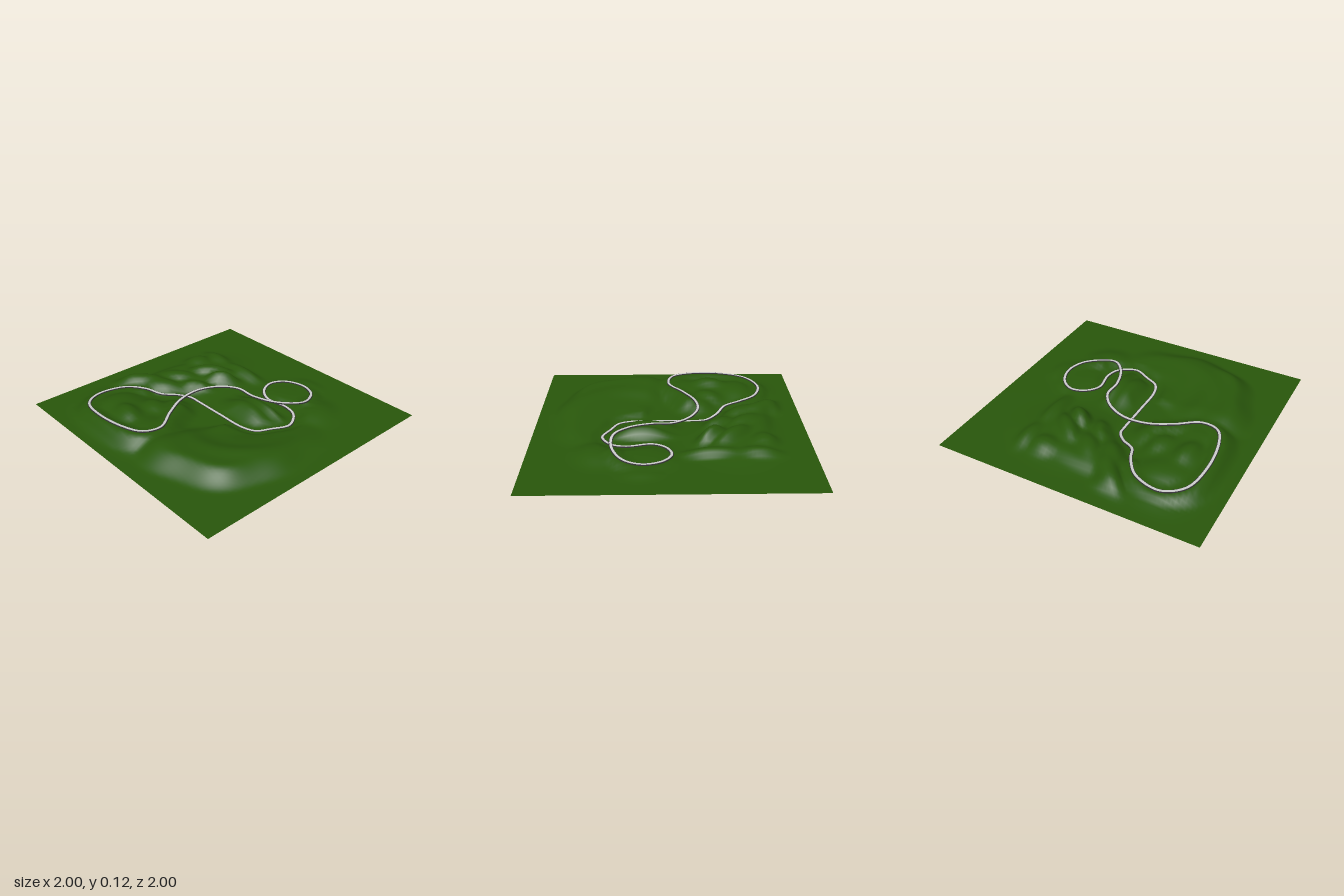
import * as THREE from 'three';

const GROUND = 0.005;

// Centre line of the road: x, y, z. It crosses over itself twice.
const ROAD = [
  [-0.21, 0.004, 0.055], [0.05, 0.004, 0.055], [0.28, 0.004, 0.05], [0.38, 0.004, 0.01],
  [0.435, 0.005, -0.09], [0.49, 0.007, -0.21], [0.46, 0.009, -0.29], [0.4, 0.012, -0.352],
  [0.3, 0.015, -0.375], [0.13, 0.02, -0.353], [0.03, 0.026, -0.42], [-0.005, 0.03, -0.53],
  [0.06, 0.034, -0.63], [0.2, 0.038, -0.675], [0.33, 0.048, -0.625], [0.41, 0.07, -0.48],
  [0.4, 0.098, -0.355], [0.3, 0.104, -0.255], [0.13, 0.104, -0.195], [-0.02, 0.106, -0.19],
  [-0.14, 0.106, -0.1], [-0.21, 0.104, 0.055], [-0.195, 0.1, 0.23], [-0.11, 0.097, 0.4],
  [0, 0.098, 0.57], [-0.03, 0.105, 0.7], [-0.16, 0.106, 0.767], [-0.43, 0.095, 0.795],
  [-0.64, 0.075, 0.745], [-0.73, 0.06, 0.6], [-0.68, 0.062, 0.4], [-0.55, 0.06, 0.29],
  [-0.43, 0.045, 0.235], [-0.36, 0.025, 0.13], [-0.28, 0.01, 0.063],
];

// Hills: x, z, radius along, radius across, turn, height
const HILLS = [
  [-0.6, -0.49, 0.15, 0.07, 0.05, 0.06], [-0.3, -0.49, 0.21, 0.06, 0, 0.06],
  [-0.45, -0.27, 0.2, 0.08, -0.8, 0.1], [-0.3, -0.26, 0.13, 0.07, -0.8, 0.11],
  [-0.55, -0.04, 0.17, 0.09, -0.7, 0.085], [-0.36, -0.05, 0.14, 0.07, -0.6, 0.075],
  [-0.7, 0.2, 0.2, 0.08, -0.8, 0.085], [-0.78, 0.25, 0.08, 0.1, 0, 0.06],
  [-0.55, 0.14, 0.18, 0.09, -0.6, 0.08], [-0.66, -0.33, 0.1, 0.12, 0.2, 0.07],
  [-0.47, -0.22, 0.27, 0.36, 0, 0.045], [-0.66, -0.05, 0.09, 0.3, 0.1, 0.055],
  [-0.35, 0.58, 0.4, 0.25, 0, 0.075], [-0.33, 0.61, 0.17, 0.1, 0.2, 0.115],
  [-0.3, 0.4, 0.14, 0.1, 0.3, 0.09], [-0.08, 0.62, 0.17, 0.22, 0, 0.085],
  [-0.55, 0.55, 0.14, 0.2, 0, 0.075], [-0.22, 0.28, 0.12, 0.12, 0, 0.07],
  [0.17, -0.11, 0.19, 0.1, 0, 0.08], [0.2, -0.21, 0.2, 0.05, 0, 0.08],
  [0.2, -0.52, 0.22, 0.2, 0, 0.03], [0.2, -0.74, 0.13, 0.08, 0, 0.022],
  [0.5, -0.48, 0.14, 0.17, -0.5, 0.045],
];

const curve = new THREE.CatmullRomCurve3(ROAD.map(p => new THREE.Vector3(...p)), true);
const samples = curve.getSpacedPoints(320);
const step = THREE.MathUtils.smoothstep;

// Broad curved ridge around the front left side
function ridge(x, z) {
  const dx = x - 0.2, dz = z - 0.1;
  const r = Math.hypot(dx, dz), a = Math.atan2(dz, dx);
  const outer = 0.73 + 0.06 * step(a, 0.2, 0.8) + 0.015 * Math.sin(a * 9);
  const slope = 1 - step(r, outer - 0.2, outer);
  const inner = 0.35 + 0.65 * step(r, 0.15, 0.5);
  const arc = step(a, -1.3, 0.7) * (1 - step(a, 1.6, 2.3));
  const ripple = 1 + 0.05 * Math.sin(r * 28 + a * 3);
  return 0.1 * slope * inner * arc * ripple;
}

function hill(x, z, [cx, cz, rx, rz, turn, height]) {
  const c = Math.cos(turn), s = Math.sin(turn), dx = x - cx, dz = z - cz;
  const u = (dx * c + dz * s) / rx, v = (dz * c - dx * s) / rz;
  return height * Math.exp(-Math.pow(u * u + v * v, 1.4));
}

// Blend the hills, bank earth up to the outer bends, then cut a bed for the road
function terrainHeight(x, z) {
  let sum = Math.pow(ridge(x, z), 4);
  for (const h of HILLS) sum += Math.pow(hill(x, z, h), 4);
  let y = Math.pow(sum, 0.25), cut = Infinity;
  for (const p of samples) {
    const away = Math.max(0, Math.hypot(x - p.x, z - p.z) - 0.04);
    if (p.z > 0.3 || p.z < -0.5) y = Math.max(y, p.y - 0.012 - away * 0.8);
    cut = Math.min(cut, p.y - 0.01 + away * 0.8);
  }
  const edge = 1 - step(Math.max(Math.abs(x), Math.abs(z)), 0.82, 0.95);
  return GROUND + Math.max(0, Math.min(y - 0.002, cut)) * edge;
}

function makeTerrain() {
  const geo = new THREE.PlaneGeometry(2, 2, 72, 72).rotateX(-Math.PI / 2);
  const pos = geo.attributes.position;
  for (let i = 0; i < pos.count; i++) pos.setY(i, terrainHeight(pos.getX(i), pos.getZ(i)));
  geo.computeVertexNormals();
  return geo;
}

// Sweep a level rectangular section along the closed road
function sweepBox(halfWidth, bottom, top, count = 320) {
  const corners = [[-halfWidth, bottom], [-halfWidth, top], [halfWidth, top], [halfWidth, bottom]];
  const verts = [], index = [];
  for (let i = 0; i <= count; i++) {
    const p = curve.getPointAt((i % count) / count);
    const t = curve.getTangentAt((i % count) / count);
    const side = new THREE.Vector3(-t.z, 0, t.x).normalize();
    for (const [w, h] of corners) verts.push(p.x + side.x * w, p.y + h, p.z + side.z * w);
    if (i === count) continue;
    for (let k = 0; k < 4; k++) {
      const a = i * 4 + k, b = i * 4 + (k + 1) % 4;
      index.push(a, b, a + 4, b, b + 4, a + 4);
    }
  }
  const indexed = new THREE.BufferGeometry();
  indexed.setAttribute('position', new THREE.Float32BufferAttribute(verts, 3));
  indexed.setIndex(index);
  const geo = indexed.toNonIndexed();
  geo.computeVertexNormals();
  return geo;
}

export function createModel() {
  const group = new THREE.Group();
  const add = (name, geo, color) => {
    const mat = new THREE.MeshStandardMaterial({ color, side: THREE.DoubleSide });
    const mesh = new THREE.Mesh(geo, mat);
    mesh.name = name;
    group.add(mesh);
  };
  add('terrain', makeTerrain(), 0x29570b);
  add('roadBed', sweepBox(0.0125, -0.004, 0.003), 0x3a363c);
  add('roadSurface', sweepBox(0.0085, 0.002, 0.0045), 0xc0bcc0);
  return group;
}
